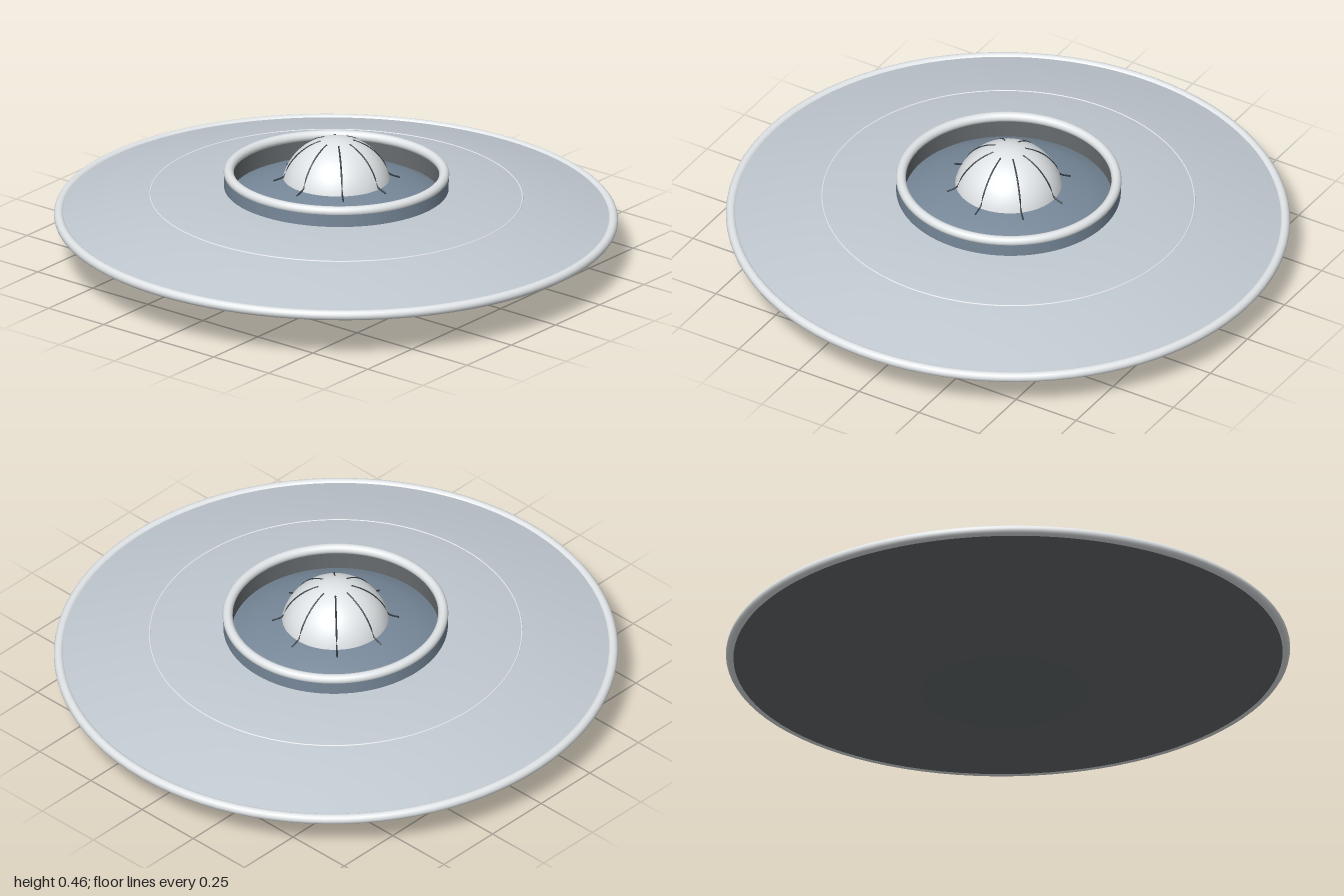
import * as THREE from 'three';

const SEG = 96;

export function createModel() {
  const model = new THREE.Group();
  const saucer = new THREE.Group();
  saucer.name = 'saucer';
  saucer.rotation.z = -0.0175; // slight bank to one side
  model.add(saucer);

  const mat = (color) => new THREE.MeshStandardMaterial({ color, side: THREE.DoubleSide });
  const silver = mat(0xc0c8d0), pale = mat(0xe0e4e6), slate = mat(0x778899);
  const dark = mat(0x666b6e), black = mat(0x333a40);

  const add = (name, geometry, material, y = 0) => {
    const mesh = new THREE.Mesh(geometry, material);
    mesh.name = name;
    mesh.position.y = y;
    saucer.add(mesh);
    return mesh;
  };
  // Smooth surface of revolution through a few [radius, height] points
  const spun = (points) => {
    const curve = new THREE.SplineCurve(points.map(([r, y]) => new THREE.Vector2(r, y)));
    return new THREE.LatheGeometry(curve.getPoints(32), SEG);
  };
  const ring = (radius, tube) => new THREE.TorusGeometry(radius, tube, 16, SEG).rotateX(Math.PI / 2);

  // Hull
  add('lowerHull', spun([[0, 0.003], [0.2, 0.004], [0.38, 0.02], [0.66, 0.077], [0.975, 0.148]]), dark);
  add('upperHull', spun([[0.975, 0.172], [0.82, 0.211], [0.66, 0.245], [0.5, 0.267], [0.38, 0.277]]), silver);
  add('outerRim', ring(0.982, 0.018), pale, 0.163);
  add('hullSeam', ring(0.66, 0.003), pale, 0.244);

  // Raised collar around the cockpit
  add('collarWall', new THREE.CylinderGeometry(0.398, 0.398, 0.07, SEG, 1, true), slate, 0.295);
  add('collarInnerWall', new THREE.CylinderGeometry(0.37, 0.37, 0.08, SEG, 1, true), dark, 0.29);
  add('collarRing', ring(0.382, 0.018), pale, 0.329);

  // Domed deck inside the collar
  add('cockpitDeck', spun([[0.372, 0.25], [0.3, 0.282], [0.2, 0.31], [0.1, 0.324], [0, 0.328]]), slate);

  // Canopy
  const R = 0.195, baseY = 0.266;
  add('canopy', new THREE.SphereGeometry(R, 64, 24, 0, Math.PI * 2, 0, Math.PI / 2), pale, baseY);

  // Thin ribs that follow the canopy and flare onto the deck
  const path = [0.3, 0.55, 0.8, 1.05, 1.27].map((a) =>
    new THREE.Vector3(R * Math.sin(a), baseY + R * Math.cos(a), 0));
  path.push(new THREE.Vector3(0.225, 0.307, 0));
  const rib = new THREE.TubeGeometry(new THREE.CatmullRomCurve3(path), 28, 0.003, 6);
  for (let i = 0; i < 8; i++) {
    add('canopyRib', rib, black).rotation.y = (i * Math.PI) / 4;
  }

  return model;
}
